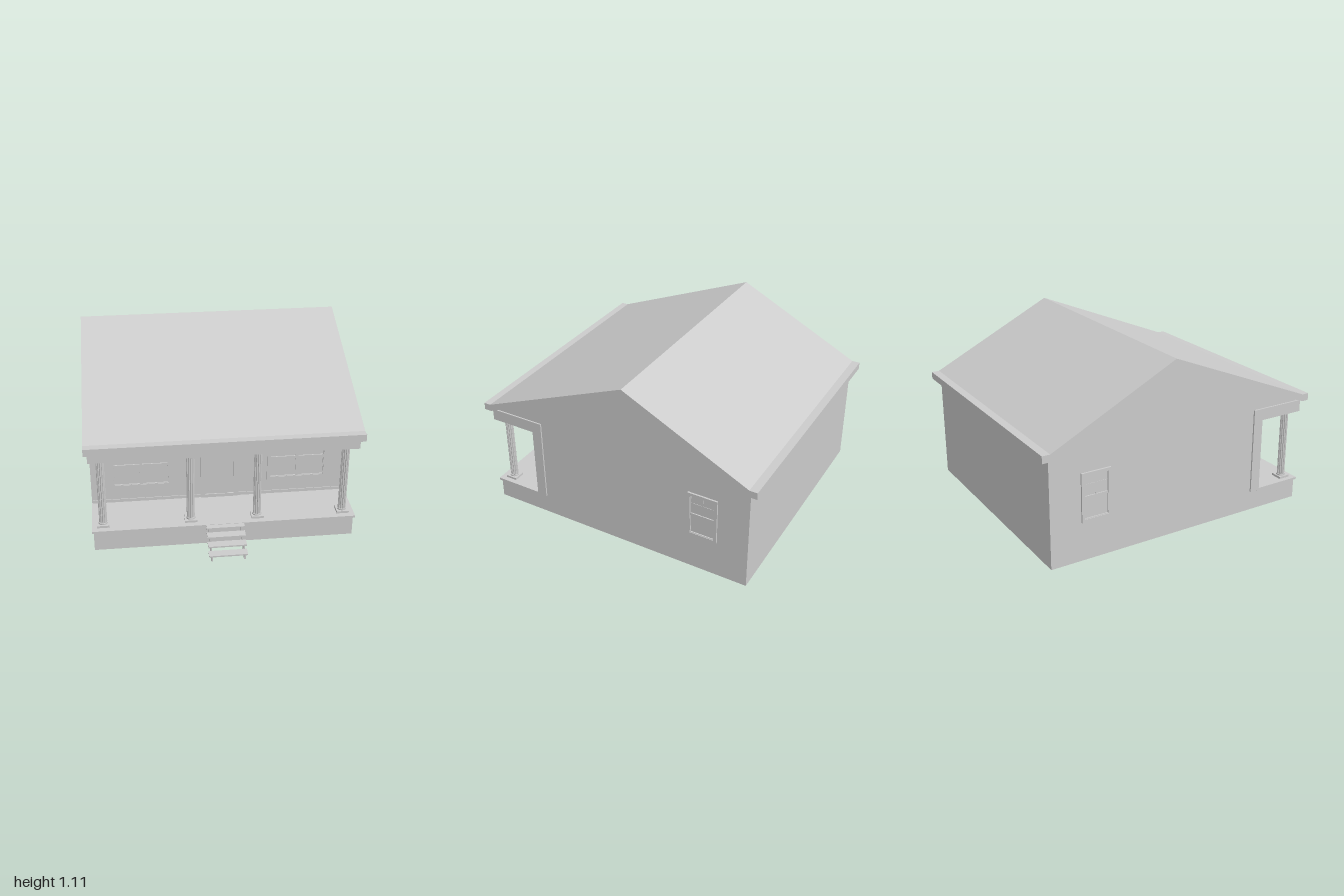
import * as THREE from 'three';

const grey = new THREE.MeshStandardMaterial({ color: 0xcccccc, flatShading: true });

function add(parent, name, geometry) {
  const mesh = new THREE.Mesh(geometry, grey);
  mesh.name = name;
  parent.add(mesh);
  return mesh;
}

// Box given by its limits on each axis
function box(parent, name, x0, x1, y0, y1, z0, z1) {
  const mesh = add(parent, name, new THREE.BoxGeometry(x1 - x0, y1 - y0, z1 - z0));
  mesh.position.set((x0 + x1) / 2, (y0 + y1) / 2, (z0 + z1) / 2);
  return mesh;
}

// Side profile of [z, y] points, extruded across x and centred on x
function across(parent, name, points, width, x = 0) {
  const shape = new THREE.Shape(points.map(([z, y]) => new THREE.Vector2(z, y)));
  const geo = new THREE.ExtrudeGeometry(shape, { depth: width, bevelEnabled: false });
  geo.translate(0, 0, -width / 2).rotateY(-Math.PI / 2).translate(x, 0, 0);
  return add(parent, name, geo);
}

function rectPath(Type, x0, x1, y0, y1) {
  return new Type([[x0, y0], [x1, y0], [x1, y1], [x0, y1]].map(p => new THREE.Vector2(...p)));
}

// Flat frame with rectangular openings, facing +z
function frame(parent, name, outer, holes, depth) {
  const shape = rectPath(THREE.Shape, ...outer);
  shape.holes = holes.map(h => rectPath(THREE.Path, ...h));
  return add(parent, name, new THREE.ExtrudeGeometry(shape, { depth, bevelEnabled: false }));
}

// Window around the origin: casing, recessed sash with panes
function makeWindow(name, w, h, columns, muntins) {
  const g = new THREE.Group();
  g.name = name;
  const X = w / 2, Y = h / 2, t = 0.018, b = 0.008;
  frame(g, 'windowCasing', [-X, X, -Y, Y], [[-X + t, X - t, -Y + t, Y - t]], 0.012);
  const panes = [];
  const pw = (w - 2 * t) / columns, ph = (h - 2 * t) / 2;
  for (let i = 0; i < columns; i++) {
    for (let j = 0; j < 2; j++) {
      const x = -X + t + i * pw, y = -Y + t + j * ph;
      panes.push([x + b * (i ? 1 : 0.5), x + pw - b * (i < columns - 1 ? 1 : 0.5),
        y + b * (j ? 1 : 0.5), y + ph - b * (j ? 0.5 : 1)]);
    }
  }
  frame(g, 'windowSash', [-X + t, X - t, -Y + t, Y - t], panes, 0.008);
  if (muntins) {
    box(g, 'verticalMuntin', -0.003, 0.003, 0, Y - t, 0, 0.003);
    box(g, 'horizontalMuntin', -X + t, X - t, Y / 2 - 0.003, Y / 2 + 0.003, 0, 0.003);
  }
  return g;
}

// Fluted porch column with square plinth and cap
function makeColumn(x, z) {
  const g = new THREE.Group();
  g.name = 'porchColumn';
  const outline = [];
  for (let i = 0; i < 48; i++) {
    const a = i / 48 * Math.PI * 2, r = i % 4 < 2 ? 0.024 : 0.0205;
    outline.push(new THREE.Vector2(r * Math.cos(a), r * Math.sin(a)));
  }
  const shaft = new THREE.ExtrudeGeometry(new THREE.Shape(outline), { depth: 0.45, bevelEnabled: false });
  add(g, 'columnShaft', shaft.rotateX(-Math.PI / 2)).position.y = 0.145;
  box(g, 'columnPlinth', -0.037, 0.037, 0.138, 0.152, -0.037, 0.037);
  box(g, 'columnCap', -0.037, 0.037, 0.586, 0.6, -0.037, 0.037);
  for (const y of [0.156, 0.582]) {
    add(g, 'columnCollar', new THREE.CylinderGeometry(0.028, 0.028, 0.008, 24)).position.y = y;
  }
  g.position.set(x, 0, z);
  return g;
}

export function createModel() {
  const house = new THREE.Group();
  house.name = 'house';

  // House body with the porch cut out of its front
  across(house, 'houseBody', [[0.81, 0], [0.81, 0.126], [0.5, 0.126], [0.5, 0.61], [0.8, 0.61],
    [0.8, 0.67], [-0.15, 1.068], [-0.95, 0.67], [-0.95, 0]], 1.56);

  // Roof with flat eaves
  across(house, 'roof', [[0.855, 0.67], [0.855, 0.715], [0.81, 0.715], [-0.15, 1.11], [-0.95, 0.715],
    [-1, 0.715], [-1, 0.67], [-0.95, 0.67], [-0.15, 1.066], [0.81, 0.67]], 1.62);

  // Porch surround: back wall and front beam, slightly wider than the body
  across(house, 'porchSurround', [[0.45, 0.126], [0.514, 0.126], [0.514, 0.598], [0.81, 0.598],
    [0.81, 0.672], [0.45, 0.672]], 1.58);
  box(house, 'porchDeck', -0.79, 0.79, 0.124, 0.138, 0.5, 0.822);
  for (const [x0, x1] of [[-0.785, -0.117], [0.115, 0.785]]) {
    box(house, 'porchBaseboard', x0, x1, 0.138, 0.158, 0.51, 0.519);
  }
  for (const x of [-0.722, -0.2, 0.2, 0.722]) house.add(makeColumn(x, 0.75));

  // Windows on the porch and on both side walls
  for (const side of [-1, 1]) {
    const front = makeWindow('frontWindow', 0.372, 0.303, 2, false);
    front.position.set(side * 0.482, 0.393, 0.513);
    const flank = makeWindow('sideWindow', 0.192, 0.303, 1, true);
    flank.rotation.y = side * Math.PI / 2;
    flank.position.set(side * 0.779, 0.393, -0.658);
    house.add(front, flank);
  }

  // Front door
  const door = new THREE.Group();
  door.name = 'frontDoor';
  frame(door, 'doorCasing', [-0.116, 0.114, 0.138, 0.542], [[-0.09, 0.088, 0.16, 0.516]], 0.012)
    .position.z = 0.513;
  box(door, 'doorLeaf', -0.09, 0.018, 0.16, 0.516, 0.51, 0.518);
  box(door, 'doorStile', 0.018, 0.048, 0.16, 0.516, 0.51, 0.521);
  box(door, 'doorSidePanel', 0.048, 0.088, 0.16, 0.516, 0.51, 0.516);
  house.add(door);

  // Front steps: four treads on two sawtooth stringers
  const steps = new THREE.Group();
  steps.name = 'frontSteps';
  const profile = [[0.81, 0.1], [0.955, 0], [0.995, 0], [0.995, 0.032]];
  for (let i = 0; i < 4; i++) {
    const top = 0.04 + i * 0.032, z = 1 - i * 0.048;
    box(steps, 'tread', -0.115, 0.113, top - 0.009, top, z - 0.052, z);
    const inner = i < 3 ? z - 0.05 : 0.81;
    if (i) profile.push([z - 0.002, top - 0.004]);
    profile.push([inner, top - 0.004]);
  }
  for (const x of [-0.098, 0.096]) across(steps, 'stringer', profile, 0.01, x);
  house.add(steps);

  return house;
}
